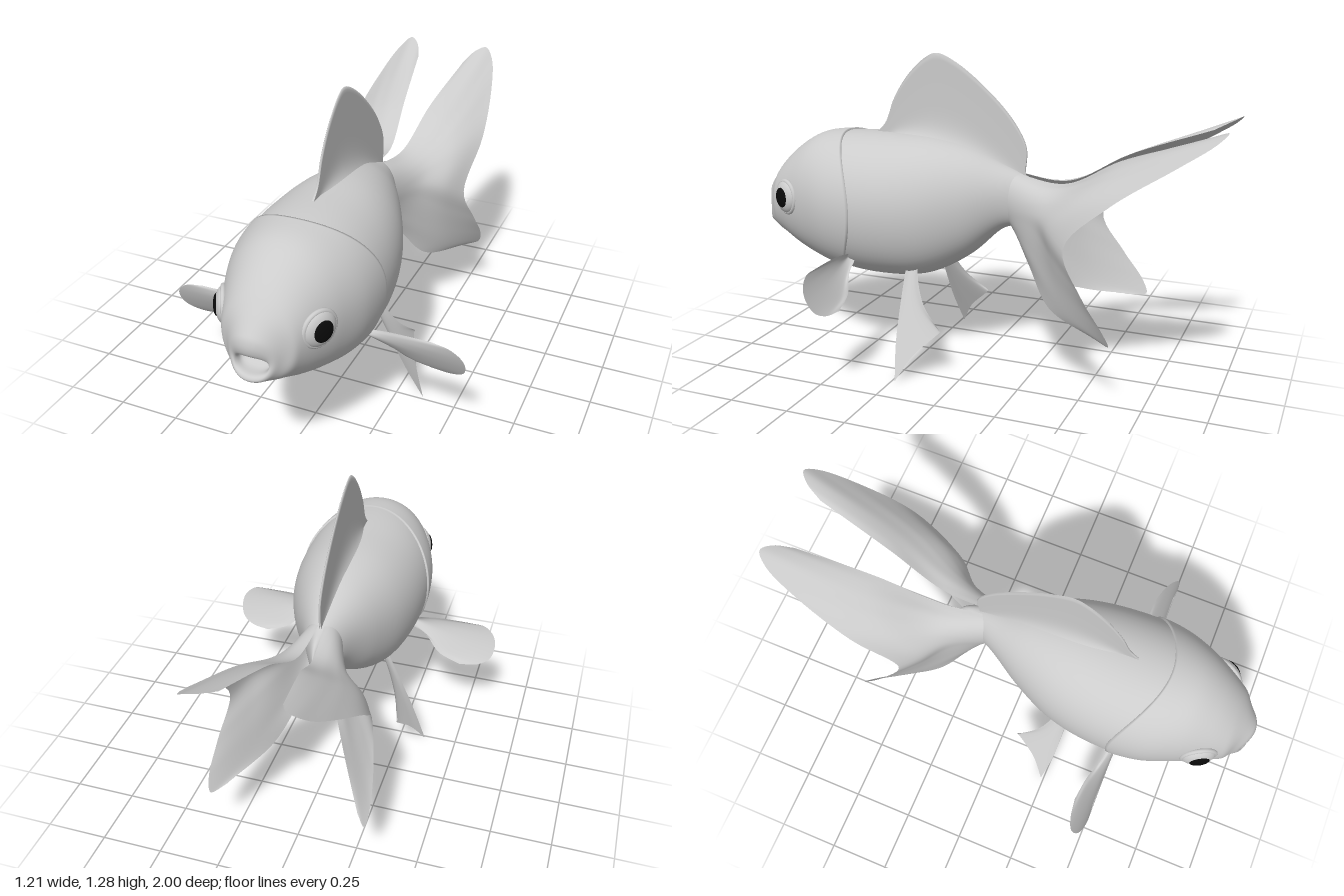
import * as THREE from 'three';
import { mergeVertices } from 'three/addons/utils/BufferGeometryUtils.js';

const V = (x, y, z) => new THREE.Vector3(x, y, z);
const grey = new THREE.MeshStandardMaterial({ color: 0xcccccc });
const finGrey = new THREE.MeshStandardMaterial({ color: 0xcccccc, side: THREE.DoubleSide });
const black = new THREE.MeshStandardMaterial({ color: 0x0a0a0a });

// Smooth surface from a grid of points fn(u, v), seams welded
function surface(nu, nv, fn) {
  const pos = [], idx = [];
  for (let i = 0; i <= nu; i++) {
    for (let j = 0; j <= nv; j++) {
      pos.push(...fn(i / nu, j / nv).toArray());
      if (i < nu && j < nv) {
        const a = i * (nv + 1) + j, b = a + nv + 1;
        idx.push(a, b, b + 1, a, b + 1, a + 1);
      }
    }
  }
  let geo = new THREE.BufferGeometry();
  geo.setAttribute('position', new THREE.Float32BufferAttribute(pos, 3));
  geo.setIndex(idx);
  geo = mergeVertices(geo, 1e-5);
  geo.computeVertexNormals();
  return geo;
}

function add(parent, name, geo, mat) {
  const mesh = new THREE.Mesh(geo, mat);
  mesh.name = name;
  parent.add(mesh);
  return mesh;
}

// Smooth interpolation through rows of [key, ...values]
function table(rows) {
  const f = new THREE.CubicInterpolant(rows.map(r => r[0]), rows.flatMap(r => r.slice(1)), rows[0].length - 1);
  return k => [...f.evaluate(k)];
}

// Body profile: z, top, bottom, half width
const profile = table([
  [-0.28, 0.74, 0.69, 0.004], [-0.26, 0.775, 0.66, 0.018], [-0.19, 0.812, 0.617, 0.055],
  [-0.1, 0.852, 0.59, 0.1], [0.04, 0.91, 0.465, 0.178], [0.2, 0.943, 0.375, 0.245],
  [0.4, 0.948, 0.35, 0.28], [0.6, 0.942, 0.368, 0.272], [0.73, 0.922, 0.40, 0.23],
  [0.82, 0.872, 0.433, 0.19], [0.89, 0.812, 0.468, 0.156], [0.94, 0.755, 0.49, 0.13],
  [0.975, 0.71, 0.505, 0.102],
]);

// Lips rolling into the mouth cavity: step, z, top, bottom, half width
const mouth = table([
  [0, 0.975, 0.71, 0.505, 0.102], [1, 0.993, 0.682, 0.513, 0.085], [2, 0.998, 0.645, 0.525, 0.07],
  [3, 0.985, 0.612, 0.538, 0.062], [4, 0.94, 0.602, 0.542, 0.056], [5, 0.9, 0.572, 0.572, 0],
]);

// Point on a rounded cross-section, fuller along the belly
function section(z, [top, bottom, w], angle, scale = 1) {
  const c = Math.cos(angle), s = Math.sin(angle);
  const n = 2.05 + 0.4 * Math.max(0, -s);
  const r = scale * (Math.abs(c) ** n + Math.abs(s) ** n) ** (-1 / n);
  return V(w * r * c, (top + bottom) / 2 + (top - bottom) / 2 * r * s, z);
}

function bodyGeometry() {
  return surface(64, 60, (u, v) => {
    const z = -0.28 + 0.98 * v;
    return section(z, profile(z), u * Math.PI * 2);
  });
}

// Head shell with a gill-cover edge sweeping back on the cheeks
function headGeometry() {
  return surface(72, 72, (u, v) => {
    const a = u * Math.PI * 2, side = Math.abs(Math.cos(a));
    const back = 0.605 - 0.135 * side ** 2;
    const notch = z => 0.028 * side ** 2 * THREE.MathUtils.smoothstep(z, 0.9, 0.975);
    if (v <= 0.7) {
      const t = Math.max(0, v / 0.7 - 0.04) / 0.96;
      const z = THREE.MathUtils.lerp(back, 0.975, t);
      const p = section(z, profile(z), a, v === 0 ? 0.97 : 1.025 - 0.025 * t);
      p.z -= notch(z);
      return p;
    }
    const [z, ...size] = mouth((v - 0.7) / 0.3 * 5);
    const p = section(z, size, a);
    p.z -= notch(0.975) * Math.min(1, (1 - v) / 0.1);
    return p;
  });
}

// Dorsal fin: thin sheet that flares into the back
function dorsalGeometry() {
  const edge = new THREE.CatmullRomCurve3([
    [0.47, 0.95], [0.435, 0.99], [0.395, 1.09], [0.33, 1.19], [0.25, 1.265], [0.2, 1.285],
    [0.12, 1.255], [-0.015, 1.155], [-0.135, 1.03], [-0.19, 0.925], [-0.185, 0.83],
  ].map(([z, y]) => V(0, y, z)));
  return surface(48, 60, (u, v) => {
    const s = v * 2 - 1, h = Math.abs(s);
    const z = THREE.MathUtils.lerp(0.49, -0.19, u);
    const p = edge.getPoint(u).lerp(V(0, profile(z)[0] - 0.035, z), h);
    p.x = Math.sign(s) * (0.004 + 0.085 * h ** 9 * (1 - 0.8 * u) * Math.min(1, u * 6));
    return p;
  });
}

// Fin membrane spread over rays, each running from root to edge
function finGeometry(rays, side) {
  const curves = rays.map(r => new THREE.CatmullRomCurve3(r.map(p => V(p[0] * side, p[1], p[2]))));
  return surface(24, 60, (u, v) =>
    new THREE.CatmullRomCurve3(curves.map(c => c.getPoint(u))).getPoint(v));
}

// Tail rays from upper to lower edge, rooted just under the skin of the tail stem
const tailRays = [
  [[0.028, 0.802, -0.36], [0.06, 0.92, -0.59], [0.11, 1.03, -0.9]],
  [[0.05, 0.80, -0.36], [0.10, 0.925, -0.61], [0.145, 1.065, -0.97]],
  [[0.08, 0.795, -0.35], [0.14, 0.91, -0.6], [0.185, 1.077, -1.0]],
  [[0.105, 0.785, -0.345], [0.175, 0.885, -0.58], [0.225, 1.04, -0.965]],
  [[0.125, 0.77, -0.335], [0.205, 0.85, -0.54], [0.268, 0.955, -0.84]],
  [[0.14, 0.74, -0.31], [0.235, 0.77, -0.45], [0.305, 0.80, -0.61]],
  [[0.14, 0.69, -0.275], [0.23, 0.66, -0.36], [0.285, 0.615, -0.435]],
  [[0.13, 0.63, -0.26], [0.225, 0.54, -0.38], [0.315, 0.445, -0.52]],
  [[0.115, 0.56, -0.245], [0.22, 0.42, -0.41], [0.325, 0.325, -0.605]],
  [[0.10, 0.51, -0.235], [0.2, 0.36, -0.4], [0.312, 0.268, -0.628]],
  [[0.08, 0.46, -0.235], [0.15, 0.325, -0.34], [0.27, 0.27, -0.57]],
].map((ray, i) => {
  const angle = THREE.MathUtils.degToRad(83 - 16.6 * i);
  return [section(-0.13, profile(-0.13), angle, 0.9).toArray(), ...ray];
});

// Pectoral fin outline (x, y); a cupped plane leaning forward at the top
const pectoralRays = [
  [[0.22, 0.47], [0.30, 0.483], [0.38, 0.487], [0.48, 0.487]],
  [[0.22, 0.465], [0.32, 0.47], [0.43, 0.473], [0.55, 0.477]],
  [[0.22, 0.46], [0.34, 0.45], [0.46, 0.447], [0.593, 0.44]],
  [[0.22, 0.455], [0.34, 0.43], [0.47, 0.41], [0.605, 0.395]],
  [[0.22, 0.45], [0.33, 0.41], [0.45, 0.37], [0.59, 0.345]],
  [[0.22, 0.445], [0.315, 0.395], [0.41, 0.34], [0.54, 0.317]],
  [[0.22, 0.44], [0.29, 0.41], [0.36, 0.345], [0.46, 0.311]],
].map((ray, i) => ray.map(([x, y]) =>
  [x, y, 0.425 + (y - 0.31) * 0.45 + 0.02 * Math.sin(i / 6 * Math.PI)]));

// Pelvic fin outline (z, y); a cupped plane splaying outward downwards
const pelvicRays = [
  [[0.275, 0.43], [0.272, 0.3], [0.262, 0.14], [0.238, 0.0]],
  [[0.262, 0.43], [0.25, 0.31], [0.22, 0.19], [0.175, 0.105]],
  [[0.24, 0.43], [0.225, 0.34], [0.175, 0.26], [0.08, 0.2]],
  [[0.225, 0.43], [0.205, 0.36], [0.165, 0.285], [0.082, 0.205]],
].map((ray, i) => ray.map(([z, y]) =>
  [0.172 + (0.4 - y) * 0.475 - 0.008 * Math.sin(i / 3 * Math.PI), y, z]));

// Eye: flattened ball, raised rim and dark pupil, facing out and a little forward
function makeEye(side) {
  const eye = new THREE.Group();
  eye.name = side > 0 ? 'leftEye' : 'rightEye';
  eye.position.set(0.185 * side, 0.672, 0.82);
  eye.lookAt(eye.position.clone().add(V(0.88 * side, 0.02, 0.47)));
  const ball = new THREE.SphereGeometry(1, 32, 20);
  add(eye, 'eyeball', ball, grey).scale.set(0.069, 0.069, 0.032);
  add(eye, 'eyeRim', new THREE.TorusGeometry(0.066, 0.01, 12, 40), grey);
  const pupil = add(eye, 'pupil', ball, black);
  pupil.scale.set(0.04, 0.042, 0.013);
  pupil.position.z = 0.025;
  return eye;
}

export function createModel() {
  const fish = new THREE.Group();
  fish.name = 'fish';
  add(fish, 'body', bodyGeometry(), grey);
  add(fish, 'head', headGeometry(), grey);
  add(fish, 'dorsalFin', dorsalGeometry(), finGrey);
  for (const side of [1, -1]) {
    const label = side > 0 ? 'left' : 'right';
    add(fish, label + 'TailFin', finGeometry(tailRays, side), finGrey);
    add(fish, label + 'PectoralFin', finGeometry(pectoralRays, side), finGrey);
    add(fish, label + 'PelvicFin', finGeometry(pelvicRays, side), finGrey);
    fish.add(makeEye(side));
  }
  return fish;
}
